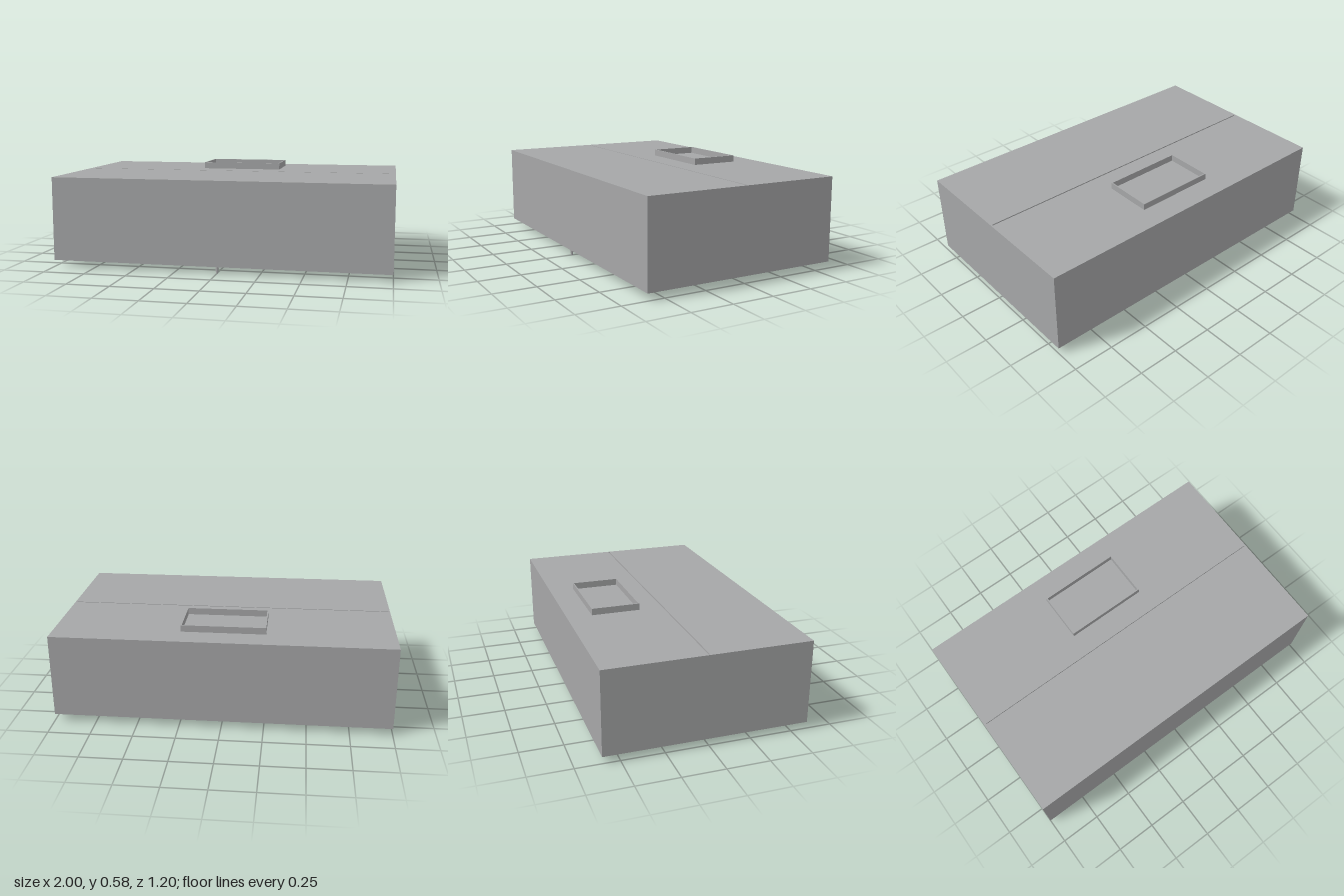
import * as THREE from 'three';

export function createModel() {
  const model = new THREE.Group();
  const steel = new THREE.MeshStandardMaterial({ color: 0xa6a7a8 });
  steel.name = 'brushed steel';

  const add = (parent, name, geometry, x, y, z) => {
    const mesh = new THREE.Mesh(geometry, steel);
    mesh.name = name;
    mesh.position.set(x, y, z);
    parent.add(mesh);
    return mesh;
  };
  // Box given by its limits on each axis
  const slab = (parent, name, [x0, x1], [y0, y1], [z0, z1]) =>
    add(parent, name, new THREE.BoxGeometry(x1 - x0, y1 - y0, z1 - z0),
      (x0 + x1) / 2, (y0 + y1) / 2, (z0 + z1) / 2);

  const T = 0.01, Y0 = 0.04, Y1 = 0.54, W = 1, D = 0.6;

  // Sheet metal shell, open underneath
  slab(model, 'frontWall', [-W, W], [Y0, Y1], [D - T, D]);
  slab(model, 'backWall', [-W, W], [Y0, Y1], [-D, -D + T]);
  slab(model, 'topFrontPanel', [-W + T, W - T], [Y1 - T, Y1], [-0.004, D - T]);
  slab(model, 'topBackPanel', [-W + T, W - T], [Y1 - T, Y1], [-D + T, -0.012]);
  slab(model, 'filterTopRail', [-W + T, W - T], [Y1 - 0.03, Y1 - T], [-0.02, 0]);

  // Bottom flanges with an upturned lip, deeper at the back
  const inX = 0.96, inFront = 0.55, inBack = -0.474, lip = [Y0, Y0 + 0.02];
  slab(model, 'frontFlange', [-W + T, W - T], [Y0, Y0 + 0.005], [inFront, D - T]);
  slab(model, 'frontLip', [-inX, inX], lip, [inFront, inFront + 0.005]);
  slab(model, 'greaseTrough', [-W + T, W - T], [Y0, Y0 + 0.005], [-D + T, inBack]);
  slab(model, 'troughLip', [-inX, inX], lip, [inBack - 0.005, inBack]);
  for (const s of [-1, 1]) {
    const span = (a, b) => [Math.min(s * a, s * b), Math.max(s * a, s * b)];
    slab(model, 'sideWall', span(W - T, W), [Y0, Y1], [-D + T, D - T]);
    slab(model, 'sideFlange', span(inX, W - T), [Y0, Y0 + 0.005], [inBack, inFront]);
    slab(model, 'sideLip', span(inX, inX + 0.005), lip, [inBack, inFront]);
  }

  // Duct collar on the roof
  const ring = new THREE.Shape();
  const rect = (p, x, z0, z1) =>
    p.moveTo(-x, z0).lineTo(x, z0).lineTo(x, z1).lineTo(-x, z1).closePath();
  rect(ring, 0.25, 0.155, 0.45);
  const hole = new THREE.Path();
  rect(hole, 0.243, 0.162, 0.443);
  ring.holes.push(hole);
  const collar = new THREE.ExtrudeGeometry(ring, { depth: 0.04, bevelEnabled: false });
  add(model, 'ductCollar', collar.rotateX(-Math.PI / 2), 0, Y1, 0);

  // Four sloping grease filters, each with a handle near its lower edge
  for (const x of [-0.743, -0.248, 0.248, 0.743]) {
    const filter = new THREE.Group();
    filter.name = 'greaseFilter';
    filter.position.set(x, 0.285, -0.255);
    filter.rotation.x = Math.PI / 4;
    slab(filter, 'filterPanel', [-0.245, 0.245], [-0.325, 0.325], [-0.02, 0]);
    for (const s of [-1, 1]) {
      slab(filter, 'handlePost', [s * 0.046 - 0.004, s * 0.046 + 0.004], [-0.264, -0.256], [0, 0.03]);
    }
    slab(filter, 'handleGrip', [-0.05, 0.05], [-0.264, -0.256], [0.03, 0.038]);
    model.add(filter);
  }

  // Small drain valve under the front edge
  const valve = new THREE.Group();
  valve.name = 'drainValve';
  add(valve, 'valveBody', new THREE.CylinderGeometry(0.009, 0.009, 0.03, 16), 0, 0.025, 0.58);
  add(valve, 'valveSpout', new THREE.CylinderGeometry(0.006, 0.006, 0.01, 16), 0, 0.005, 0.58);
  slab(valve, 'valveLever', [-0.003, 0.003], [0.019, 0.023], [0.545, 0.575]);
  model.add(valve);

  return model;
}
